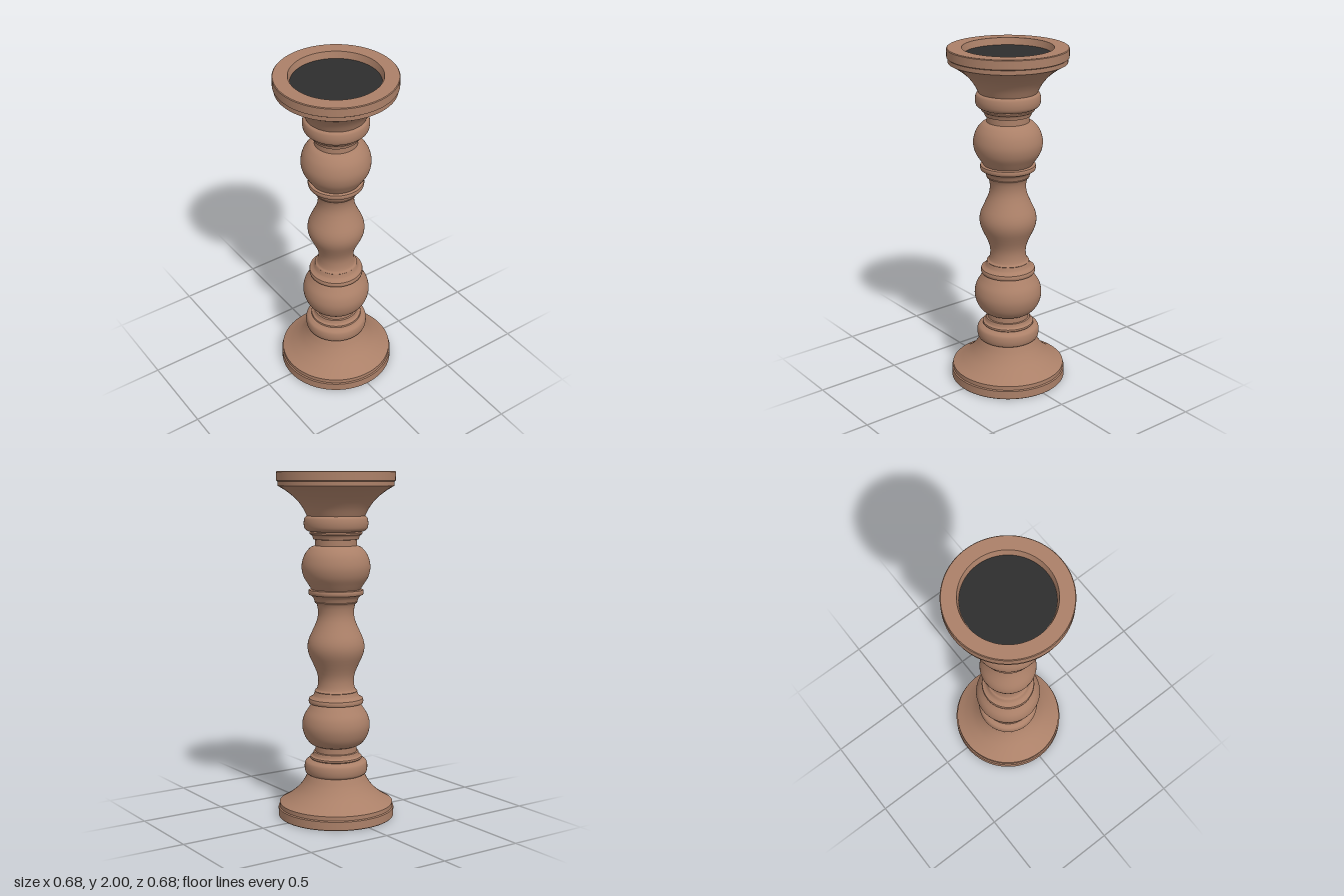
import * as THREE from 'three';
import { mergeGeometries } from 'three/addons/utils/BufferGeometryUtils.js';

const SIDES = 96;

// Each part is a list of runs [radius, height]; edges between runs stay sharp.
// A run of two points is straight, a longer one is a smooth curve.
const PARTS = {
  Plinth: [
    [[0, 0.042], [0.246, 0.042]],
    [[0.246, 0.042], [0.255, 0]],
    [[0.255, 0], [0.334, 0]],
    [[0.334, 0], [0.338, 0.004]],
    [[0.338, 0.004], [0.338, 0.052]],
    [[0.338, 0.052], [0.331, 0.057]],
    [[0.331, 0.057], [0.331, 0.081]],
  ],
  Flare: [
    [[0.331, 0.081], [0.28, 0.112], [0.228, 0.155], [0.19, 0.203], [0.166, 0.25]],
  ],
  Bead: [
    [[0.166, 0.25], [0.179, 0.262], [0.184, 0.292], [0.178, 0.322], [0.158, 0.337]],
    [[0.158, 0.337], [0.145, 0.339]],
  ],
  Collar: [
    [[0.145, 0.339], [0.151, 0.345]],
    [[0.151, 0.345], [0.149, 0.354]],
    [[0.149, 0.354], [0.137, 0.362], [0.13, 0.382]],
    [[0.13, 0.382], [0.121, 0.384]],
    [[0.121, 0.384], [0.121, 0.418]],
  ],
  Bulb: [
    [[0.121, 0.418], [0.15, 0.432], [0.182, 0.475], [0.197, 0.535], [0.187, 0.592], [0.16, 0.638], [0.14, 0.668]],
  ],
  Ring: [
    [[0.14, 0.668], [0.157, 0.671]],
    [[0.157, 0.671], [0.159, 0.684], [0.156, 0.698]],
    [[0.156, 0.698], [0.146, 0.702]],
    [[0.146, 0.702], [0.132, 0.715], [0.122, 0.738]],
    [[0.122, 0.738], [0.124, 0.741]],
    [[0.124, 0.741], [0.12, 0.746]],
  ],
  Waist: [
    [[0.12, 0.746], [0.11, 0.755], [0.103, 0.8], [0.111, 0.85], [0.137, 0.91], [0.157, 0.955], [0.165, 1]],
  ],
};

function turn(run) {
  const pts = run.map(([r, y]) => new THREE.Vector2(r, y));
  return new THREE.LatheGeometry(pts.length > 2 ? new THREE.SplineCurve(pts).getPoints(24) : pts, SIDES);
}

// Upside-down copy of a run, about mid height
const flip = (run) => run.map(([r, y]) => [r, 2 - y]).reverse();

export function createModel() {
  const wood = new THREE.MeshStandardMaterial({ color: 0xab8068 });
  wood.name = 'wood';
  const felt = new THREE.MeshStandardMaterial({ color: 0x2e2e2e });
  felt.name = 'dark liner';

  const group = new THREE.Group();
  group.name = 'candlestick';

  // Turned column: the lower half and its mirrored upper half
  for (const [name, runs] of Object.entries(PARTS)) {
    if (name === 'Waist') {
      // One smooth run through the middle
      const waist = new THREE.Mesh(turn([...runs[0], ...flip(runs[0]).slice(1)]), wood);
      waist.geometry.name = 'waist';
      waist.name = 'waist';
      group.add(waist);
      continue;
    }
    for (const [side, list] of [['lower', runs], ['upper', runs.map(flip)]]) {
      const mesh = new THREE.Mesh(mergeGeometries(list.map(turn)), wood);
      mesh.name = side + name;
      group.add(mesh);
    }
  }

  // Dark liner in the candle cup
  const liner = new THREE.Mesh(new THREE.CircleGeometry(0.245, SIDES), felt);
  liner.name = 'cupLiner';
  liner.rotation.x = -Math.PI / 2;
  liner.position.y = 1.961;
  group.add(liner);

  return group;
}
